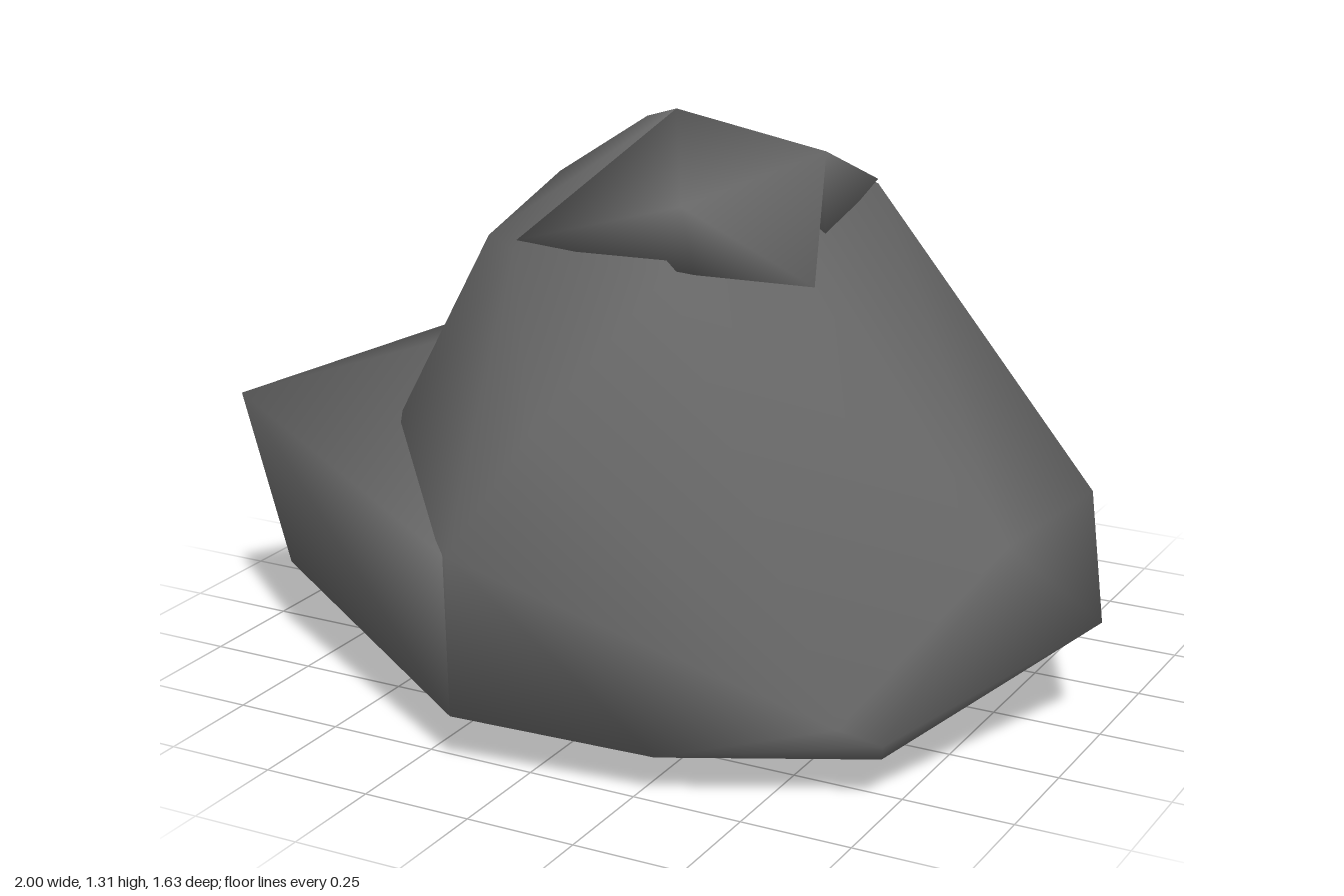
import * as THREE from 'three';
import { ConvexGeometry } from 'three/addons/geometries/ConvexGeometry.js';
import { mergeVertices } from 'three/addons/utils/BufferGeometryUtils.js';

const stone = new THREE.MeshStandardMaterial({ color: 0x666666 });
stone.name = 'stone grey';

// A faceted chunk through its corner points, with shared smooth normals
function chunk(name, corners) {
  let geometry = new ConvexGeometry(corners.map((c) => new THREE.Vector3(...c)));
  geometry.deleteAttribute('normal');
  geometry = mergeVertices(geometry, 1e-4);
  geometry.computeVertexNormals();
  const mesh = new THREE.Mesh(geometry, stone);
  mesh.name = name;
  return mesh;
}

export function createModel() {
  const rock = new THREE.Group();
  rock.name = 'rock';

  // Main boulder, from the base up
  rock.add(chunk('boulder', [
    [-0.03, 0, 0.26], [0.45, 0.06, -0.1], [0.35, 0.06, -0.61], [-0.2, 0.09, -0.5],
    [-0.16, 0.12, 0.81], [0.3, 0.1, 0.75], [0.71, 0.09, 0.52], [0.74, 0.15, 0.58],
    [0.67, 0.2, 0.65], [0.7, 0.15, -0.42], [-0.19, 0.2, -0.82], [-0.45, 0.2, -0.7],
    [1, 0.27, 0.02], [0.89, 0.52, 0.31], [0.81, 0.4, -0.42], [0.55, 0.36, -0.54],
    [-0.4, 0.45, -0.57], [-0.16, 0.48, 0.81], [-0.6, 0.52, 0.38],
    [0, 0.75, 0.73], [0.1, 0.72, -0.67], [0, 0.87, -0.6], [-0.44, 0.83, -0.2],
    [-0.42, 1.0, 0.2], [0.33, 1.03, 0.1], [0.2, 1.06, 0.51], [-0.2, 1.05, 0.45],
    [-0.38, 1.1, -0.05], [-0.2, 1.23, -0.14], [0.05, 1.11, -0.4], [0.3, 1.09, -0.32],
    [0, 1.31, 0.09], [-0.4, 1.0, -0.36],
  ]));

  // Pointed ledge on the right flank, its top sloping in towards the boulder
  rock.add(chunk('sideLedge', [
    [-1, 0.59, 0.37], [-0.85, 0.21, 0.41], [-0.63, 0.53, 0.41], [-0.56, 0.74, -0.2],
    [-0.45, 0.2, -0.7], [-0.16, 0.12, 0.81], [-0.2, 0.09, 0.1], [-0.4, 0.45, -0.57],
    [-0.35, 0.77, -0.15], [-0.16, 0.47, 0.8],
  ]));

  // Small overhang above the ledge
  rock.add(chunk('sideOverhang', [
    [-0.52, 0.97, -0.29], [-0.49, 0.83, -0.2], [-0.38, 1.1, -0.05], [-0.42, 1.0, 0.2],
    [-0.4, 1.0, -0.36], [-0.2, 1.23, -0.14], [-0.3, 0.85, -0.2],
  ]));

  // Overhanging flap at the top, in a front and a rear half
  rock.add(chunk('crownFront', [
    [0, 1.31, 0.09], [0.32, 1.23, 0], [0.51, 1.06, 0.45], [0.22, 1.2, 0.48],
    [-0.2, 1.07, 0.44], [0.3, 1.03, 0], [0.25, 1.06, 0.48],
  ]));
  rock.add(chunk('crownRear', [
    [0, 1.31, 0.09], [0.32, 1.23, 0], [0.3, 1.1, -0.32], [0.32, 1.03, 0],
    [0.05, 1.11, -0.39], [-0.2, 1.23, -0.14],
  ]));

  return rock;
}
